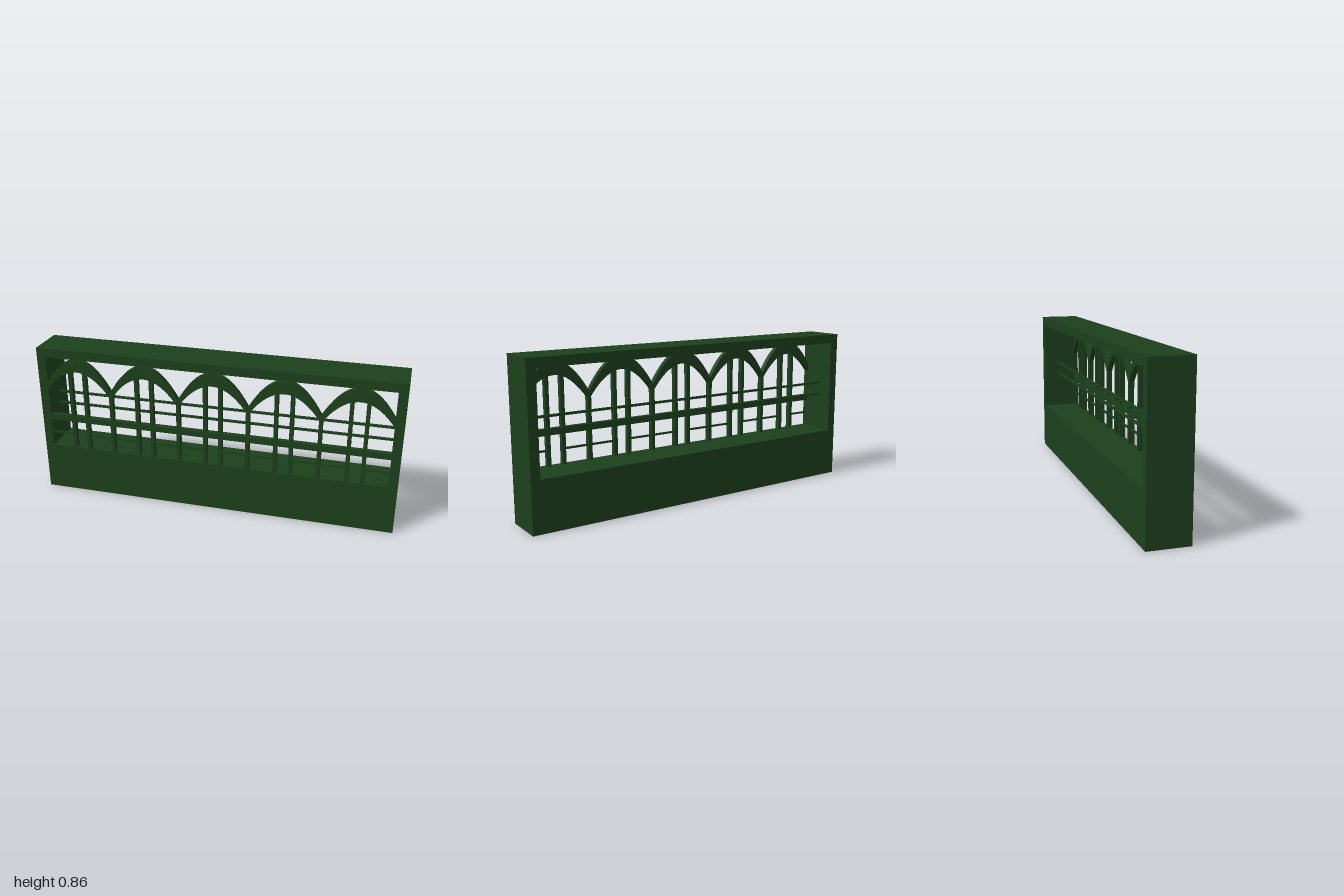
import * as THREE from 'three';

export function createModel() {
  const model = new THREE.Group();
  model.name = 'arcadeWindow';
  const mat = new THREE.MeshStandardMaterial({ color: 0x1c401c, flatShading: true });

  const add = (name, geometry) => {
    const mesh = new THREE.Mesh(geometry, mat);
    mesh.name = name;
    model.add(mesh);
    return mesh;
  };
  // Box given by its limits on each axis
  const box = (name, x0, x1, y0, y1, z0, z1) => {
    const mesh = add(name, new THREE.BoxGeometry(x1 - x0, y1 - y0, z1 - z0));
    mesh.position.set((x0 + x1) / 2, (y0 + y1) / 2, (z0 + z1) / 2);
    return mesh;
  };

  const D = 0.112, IN = 0.95, BASE = 0.275, TOP = 0.812, H = 0.862;
  const PITCH = 0.386, HALF = PITCH / 2;
  const BACK = 0.082, FRONT = 0.111; // depth of the tracery

  // Outer frame
  box('base', -1, 1, 0, BASE, -D, D);
  box('topBeam', -1, 1, TOP, H, -D, D);
  for (const s of [-1, 1]) {
    box('sideWall', Math.min(s, s * IN), Math.max(s, s * IN), BASE, TOP, -D, D);
  }

  // Arch band between two parabolas, cut off where it meets the side walls
  const archY = (peak, drop, dx) => peak - drop * (dx / HALF) ** 2;
  const makeArch = (cx) => {
    const from = Math.max(-HALF, -IN - cx), to = Math.min(HALF, IN - cx);
    const n = 20, outer = [], inner = [];
    for (let i = 0; i <= n; i++) {
      const dx = from + (to - from) * i / n;
      outer.push(new THREE.Vector2(cx + dx, archY(0.811, 0.17, dx)));
      inner.push(new THREE.Vector2(cx + dx, archY(0.74, 0.14, dx)));
    }
    const shape = new THREE.Shape([...inner, ...outer.reverse()]);
    const geo = new THREE.ExtrudeGeometry(shape, { depth: FRONT - BACK, bevelEnabled: false });
    geo.translate(0, 0, BACK);
    add('arch', geo);
  };

  // Five bays, each with an arch, a pair of mullions and short lower glazing bars
  for (let i = -2; i <= 2; i++) {
    const cx = i * PITCH;
    makeArch(cx);
    for (const s of [-1, 1]) {
      const mx = cx + s * 0.042;
      box('mullion', mx - 0.01, mx + 0.01, BASE, 0.735, BACK, FRONT);
      const edge = Math.max(-IN, Math.min(IN, cx + s * HALF));
      box('lowerGlazingBar', Math.min(mx, edge), Math.max(mx, edge), 0.35, 0.36, 0.092, 0.102);
    }
  }

  // Posts between bays; the lower part stands slightly proud of the base
  for (let i = 0; i < 5; i++) {
    const px = (i - 2.5) * PITCH;
    if (i > 0) box('post', px - 0.01, px + 0.01, BASE, 0.625, BACK, FRONT);
    box('lowerPost', px - 0.01, px + 0.01, 0.272, 0.437, BACK, 0.1145);
  }

  // Main rail in the tracery and two thin rods behind it
  box('rail', -IN, IN, 0.436, 0.47, BACK, FRONT + 0.0005);
  for (const y of [0.49, 0.56]) {
    box('rearRod', -IN, IN, y - 0.006, y + 0.006, -0.026, -0.014);
  }

  return model;
}
